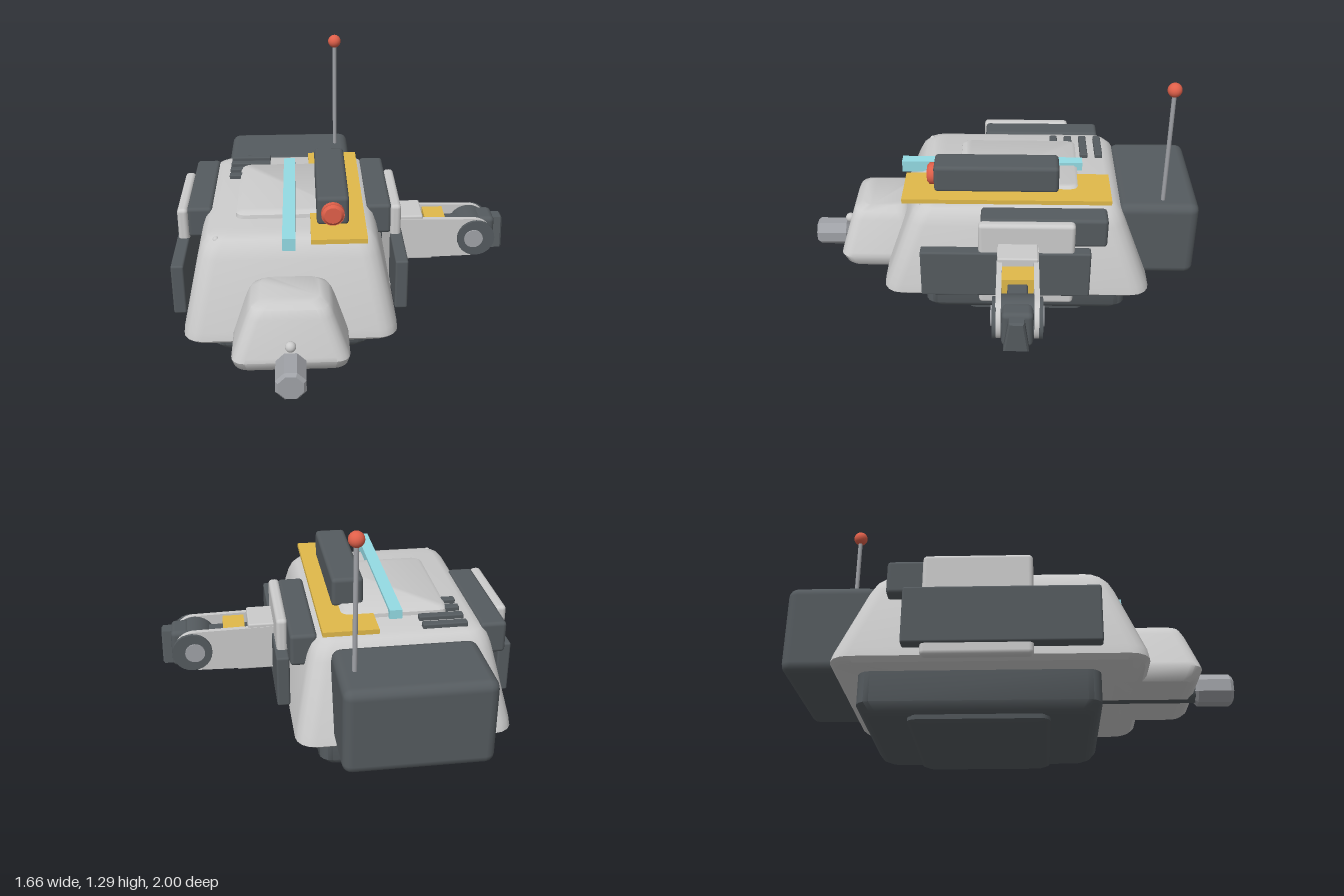
import * as THREE from 'three';
import { toCreasedNormals } from 'three/addons/utils/BufferGeometryUtils.js';
import { RoundedBoxGeometry } from 'three/addons/geometries/RoundedBoxGeometry.js';

const mat = (color) => new THREE.MeshStandardMaterial({ color });
const CX = -0.265; // centre line of the body

export function createModel() {
  const root = new THREE.Group();
  const light = mat(0xcccccc), dark = mat(0x555b5f), steel = mat(0xa0a2a7);
  const yellow = mat(0xe0b94a), red = mat(0xe0604a), cyan = mat(0x94dbe4);

  const add = (name, geometry, material, parent = root) => {
    const mesh = new THREE.Mesh(geometry, material);
    mesh.name = name;
    parent.add(mesh);
    return mesh;
  };

  // Box given by its limits on each axis, with optional rounded edges
  const box = (name, [x0, x1], [y0, y1], [z0, z1], material, r = 0, parent = root) => {
    const s = [x1 - x0, y1 - y0, z1 - z0];
    const g = r ? new RoundedBoxGeometry(...s, 2, r) : new THREE.BoxGeometry(...s);
    g.translate((x0 + x1) / 2, (y0 + y1) / 2, (z0 + z1) / 2);
    return add(name, g, material, parent);
  };

  // Cylinder lying along z
  const rod = (name, x, y, z0, z1, r, material, sides = 24, parent = root, r2 = r) => {
    const g = new THREE.CylinderGeometry(r2, r, z1 - z0, sides);
    g.rotateX(Math.PI / 2).translate(x, y, (z0 + z1) / 2);
    return add(name, g, material, parent);
  };

  // Solid lofted through rounded rectangles: [y, halfWidth, zBack, zFront, cornerRadius]
  const loft = (name, levels, material, cx = CX, steps = 4) => {
    const pos = [], idx = [], n = 4 * (steps + 1);
    for (const [y, hx, z0, z1, r] of levels) {
      for (let c = 0; c < 4; c++) {
        const px = c === 0 || c === 3 ? cx + hx - r : cx - hx + r;
        const pz = c < 2 ? z1 - r : z0 + r;
        for (let k = 0; k <= steps; k++) {
          const a = (c + k / steps) * Math.PI / 2;
          pos.push(px + r * Math.cos(a), y, pz + r * Math.sin(a));
        }
      }
    }
    const last = levels.length - 1;
    for (let i = 0; i < last; i++) {
      for (let j = 0; j < n; j++) {
        const a = i * n + j, b = i * n + (j + 1) % n;
        idx.push(a, a + n, b, b, a + n, b + n);
      }
    }
    for (let j = 1; j < n - 1; j++) {
      idx.push(0, j, j + 1);
      idx.push(last * n, last * n + j + 1, last * n + j);
    }
    const g = new THREE.BufferGeometry();
    g.setAttribute('position', new THREE.Float32BufferAttribute(pos, 3));
    g.setIndex(idx);
    return add(name, toCreasedNormals(g, 0.7), material);
  };

  // Hull with sloping sides, and the dark base under it
  loft('hull', [
    [0.215, 0.48, -0.735, 0.565, 0.08],
    [0.235, 0.503, -0.76, 0.585, 0.09],
    [0.275, 0.498, -0.748, 0.578, 0.09],
    [0.59, 0.428, -0.628, 0.458, 0.09],
    [0.64, 0.41, -0.605, 0.435, 0.09],
    [0.67, 0.385, -0.575, 0.405, 0.08],
    [0.682, 0.35, -0.54, 0.37, 0.07],
  ], light);
  loft('base', [
    [0.03, 0.335, -0.6, 0.33, 0.05],
    [0.045, 0.36, -0.63, 0.36, 0.06],
    [0.08, 0.385, -0.655, 0.385, 0.06],
    [0.225, 0.388, -0.655, 0.385, 0.06],
  ], dark);
  loft('bellyPlate', [
    [0, 0.315, -0.41, 0.135, 0.03],
    [0.015, 0.34, -0.44, 0.165, 0.04],
    [0.05, 0.345, -0.44, 0.165, 0.04],
  ], dark);

  // Nose with its pipe and nozzle
  loft('nose', [
    [0.215, 0.24, 0.45, 0.79, 0.05],
    [0.235, 0.255, 0.45, 0.815, 0.06],
    [0.28, 0.265, 0.45, 0.835, 0.06],
    [0.3, 0.258, 0.45, 0.83, 0.06],
    [0.465, 0.195, 0.46, 0.78, 0.06],
    [0.505, 0.175, 0.48, 0.763, 0.06],
    [0.525, 0.135, 0.5, 0.725, 0.05],
  ], light);
  rod('nosePipe', CX, 0.265, 0.4, 0.85, 0.055, dark, 16);
  const profile = [[0, -0.09], [0.05, -0.09], [0.073, -0.07], [0.073, 0.075], [0.06, 0.09], [0, 0.09]];
  const nozzle = new THREE.LatheGeometry(profile.map((p) => new THREE.Vector2(...p)), 8);
  nozzle.rotateX(Math.PI / 2).rotateZ(Math.PI / 8).translate(CX, 0.267, 0.91);
  add('nozzle', toCreasedNormals(nozzle, 0.4), steel);
  add('noseStud', new THREE.SphereGeometry(0.025, 16, 10), light).position.set(CX, 0.355, 0.82);

  // Back pack and antenna
  box('backPack', [-0.605, 0.068], [0.24, 0.655], [-1, -0.595], dark, 0.045);
  const mast = add('antennaMast', new THREE.CylinderGeometry(0.011, 0.011, 0.62, 12), steel);
  mast.position.set(-0.007, 0.94, -0.82);
  add('antennaBall', new THREE.SphereGeometry(0.035, 20, 14), red).position.set(-0.007, 1.26, -0.82);

  // Roof fittings
  loft('roofHatch', [
    [0.67, 0.26, -0.4, 0.215, 0.04],
    [0.7, 0.255, -0.397, 0.21, 0.04],
    [0.712, 0.235, -0.38, 0.19, 0.03],
  ], light);
  box('roofPlate', [-0.165, 0.095], [0.68, 0.703], [-0.555, 0.485], yellow);
  box('scopeHousing', [-0.135, 0.017], [0.695, 0.84], [-0.295, 0.33], dark, 0.02);
  rod('scopeLens', -0.06, 0.763, 0.32, 0.355, 0.055, red);
  rod('scopeLensFace', -0.06, 0.763, 0.355, 0.366, 0.052, red, 24, root, 0.04);
  box('lightBar', [-0.296, -0.236], [0.666, 0.727], [-0.425, 0.515], cyan);
  for (let i = 0; i < 4; i++) {
    const z = -0.52 + i * 0.079;
    box('vent' + (i + 1), [-0.58, -0.37], [0.67, 0.703], [z - 0.02, z + 0.02], dark, 0.006);
  }

  // Side armour and roof rivets, mirrored about the centre line
  for (const s of [-1, 1]) {
    const side = s > 0 ? 'left' : 'right';
    const span = (a, b) => (s > 0 ? [CX + a, CX + b] : [CX - b, CX - a]);
    box(side + 'SidePod', span(0.38, 0.505), [0.525, 0.682], [-0.53, 0.09], dark, 0.018);
    box(side + 'SidePanel', span(0.5, 0.553), [0.215, 0.682], [-0.37, 0.1], light, 0.02);
    box(side + 'SideSkirt', span(0.5, 0.562), [0.267, 0.525], [-0.45, 0.385], dark, 0.01);
    const rivet = add(side + 'Rivet', new THREE.SphereGeometry(0.016, 12, 8), light);
    rivet.position.set(CX + s * 0.34, 0.663, 0.385);
  }

  // Arm on the left side: two cheek plates around the inner parts
  const arm = new THREE.Group();
  arm.name = 'arm';
  root.add(arm);
  const cheek = new THREE.Shape();
  cheek.moveTo(0.27, 0.335);
  cheek.lineTo(0.66, 0.345);
  cheek.absarc(0.67, 0.45, 0.102, -Math.PI / 2, Math.PI / 2, false);
  cheek.lineTo(0.27, 0.56);
  for (const z of [-0.193, -0.018]) {
    const g = new THREE.ExtrudeGeometry(cheek, { depth: 0.025, bevelEnabled: false, curveSegments: 12 });
    add('armCheek', toCreasedNormals(g.translate(0, 0, z), 0.6), light, arm);
  }
  box('armShoulder', [0.27, 0.41], [0.34, 0.576], [-0.19, 0.005], light, 0.008, arm);
  box('armLowerCover', [0.29, 0.47], [0.315, 0.36], [-0.165, -0.02], light, 0.008, arm);
  box('armCore', [0.38, 0.61], [0.365, 0.52], [-0.14, -0.045], dark, 0.01, arm);
  box('armMarker', [0.425, 0.53], [0.38, 0.545], [-0.168, -0.018], yellow, 0, arm);

  // Wrist joint and hand
  rod('wristDrum', 0.67, 0.45, -0.168, -0.018, 0.1, dark, 24, arm);
  for (const [z0, z1] of [[-0.208, -0.19], [0.004, 0.022]]) {
    rod('wristDisc', 0.685, 0.45, z0, z1, 0.096, dark, 24, arm);
  }
  rod('wristHub', 0.672, 0.45, -0.215, 0.03, 0.048, steel, 24, arm);
  box('handNeck', [0.69, 0.785], [0.355, 0.545], [-0.165, -0.02], dark, 0.025, arm);
  const hand = new THREE.Shape([[-0.058, 0.37], [0.058, 0.37], [0.035, 0.532], [-0.035, 0.532]]
    .map((p) => new THREE.Vector2(...p)));
  const handGeo = new THREE.ExtrudeGeometry(hand, {
    depth: 0.07, bevelThickness: 0.008, bevelSize: 0.008, bevelOffset: -0.008, bevelSegments: 1,
  });
  add('hand', handGeo.rotateY(Math.PI / 2).translate(0.752, 0, -0.088), dark, arm);

  return root;
}
